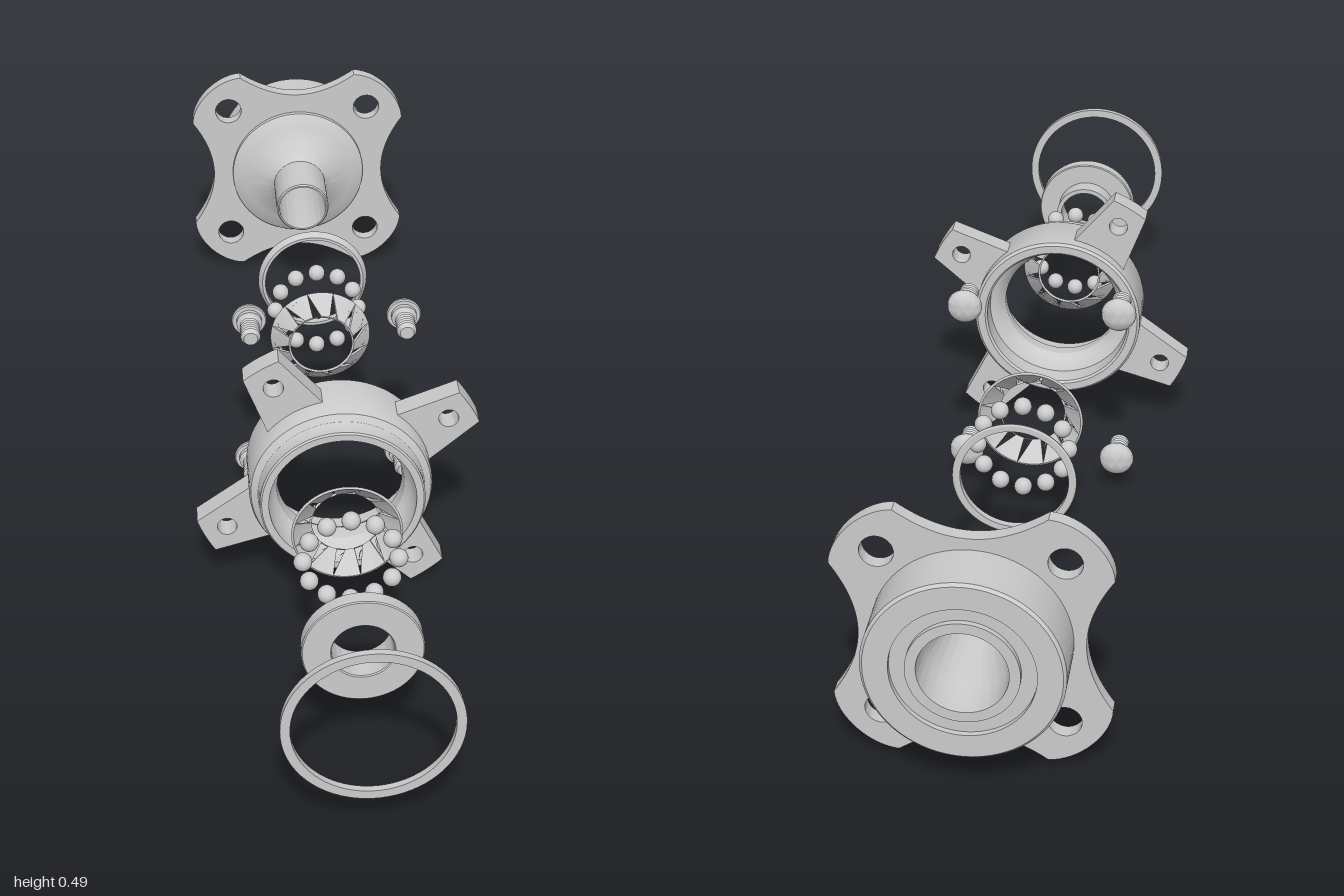
import * as THREE from 'three';
import { toCreasedNormals } from 'three/addons/utils/BufferGeometryUtils.js';

const material = new THREE.MeshStandardMaterial({ color: 0xcccccc });
const BALLS = 12;

function addMesh(parent, name, geometry) {
  const mesh = new THREE.Mesh(geometry, material);
  mesh.name = name;
  parent.add(mesh);
  return mesh;
}

// Solid of revolution about z from [radius, z] pairs, outside going toward +z
function turned(profile, segments = 72) {
  const points = profile.map(([r, z]) => new THREE.Vector2(r, z));
  points.push(points[0].clone());
  return toCreasedNormals(new THREE.LatheGeometry(points, segments).rotateX(Math.PI / 2), 0.5);
}

function plate(shape, z, depth) {
  const geometry = new THREE.ExtrudeGeometry(shape, { depth, bevelEnabled: false, curveSegments: 16 });
  return toCreasedNormals(geometry.translate(0, 0, z), 0.5);
}

function circleHole(x, y, r) {
  return new THREE.Path().absarc(x, y, r, 0, Math.PI * 2, true);
}

// Four lobes with concave valleys between them
function flangeShape() {
  const shape = new THREE.Shape();
  const at = (x, y, k) => {
    const a = k * Math.PI / 2;
    return [x * Math.cos(a) - y * Math.sin(a), x * Math.sin(a) + y * Math.cos(a)];
  };
  shape.moveTo(0.184, 0);
  for (let k = 0; k < 4; k++) {
    shape.quadraticCurveTo(...at(0.184, 0.06, k), ...at(0.228, 0.123, k));
    shape.bezierCurveTo(...at(0.226, 0.172, k), ...at(0.172, 0.226, k), ...at(0.123, 0.228, k));
    shape.quadraticCurveTo(...at(0.06, 0.184, k), ...at(0, 0.184, k));
    shape.holes.push(circleHole(...at(0.15, 0.15, k), 0.028));
  }
  shape.holes.push(circleHole(0, 0, 0.14));
  return shape;
}

// Flared lug along +x with an arc tip and a hole
function lugShape() {
  const shape = new THREE.Shape();
  const half = 0.135;
  shape.moveTo(0.15, -0.058);
  shape.lineTo(0.273 * Math.cos(half), -0.273 * Math.sin(half));
  shape.absarc(0, 0, 0.273, -half, half, false);
  shape.lineTo(0.15, 0.058);
  shape.closePath();
  shape.holes.push(circleHole(0.228, 0, 0.018));
  return shape;
}

// Conical cage: one windowed segment wrapped round the axis, repeated per ball
function cageSegment() {
  const shape = new THREE.Shape();
  for (let i = 0; i <= 6; i++) shape.lineTo(-0.5 + i / 6, 0);
  for (let i = 6; i >= 0; i--) shape.lineTo(-0.5 + i / 6, 1);
  shape.holes.push(new THREE.Path().absellipse(0, 0.48, 0.4, 0.37, 0, Math.PI * 2, true));
  const geometry = new THREE.ExtrudeGeometry(shape, { depth: 1, bevelEnabled: false, curveSegments: 12 });
  const p = geometry.attributes.position;
  for (let i = 0; i < p.count; i++) {
    const angle = p.getX(i) * Math.PI * 2 / BALLS;
    const v = p.getY(i);
    const r = 0.06 + 0.034 * v + 0.004 * p.getZ(i);
    p.setXYZ(i, r * Math.cos(angle), r * Math.sin(angle), -0.017 + 0.035 * v - 0.002 * p.getZ(i));
  }
  return toCreasedNormals(geometry, 0.6);
}

function makeBearing(name, cageZ, ballZ, flip) {
  const bearing = new THREE.Group();
  bearing.name = name;
  const segment = cageSegment();
  const ball = new THREE.SphereGeometry(0.0165, 20, 14);
  const cage = new THREE.Group();
  cage.name = 'ballCage';
  const balls = new THREE.Group();
  balls.name = 'ballRing';
  for (let k = 0; k < BALLS; k++) {
    const a = k * Math.PI * 2 / BALLS;
    addMesh(cage, 'cageSegment', segment).rotation.z = a;
    addMesh(balls, 'ball', ball).position.set(0.083 * Math.cos(a), 0.083 * Math.sin(a), 0);
  }
  cage.position.z = cageZ;
  if (flip) cage.rotation.y = Math.PI;
  balls.position.z = ballZ;
  bearing.add(cage, balls);
  return bearing;
}

// Domed head at the back, threaded shank pointing forward
function boltGeometry() {
  const profile = [[0, -0.03], [0.012, -0.029], [0.024, -0.025], [0.031, -0.018], [0.033, -0.01],
    [0.031, -0.007], [0.024, -0.007], [0.024, 0.002], [0.019, 0.004]];
  for (let i = 0; i < 6; i++) {
    const z = 0.008 + i * 0.0075;
    profile.push([0.0155, z], [0.0185, z + 0.0035]);
  }
  profile.push([0.0155, 0.053], [0.013, 0.058], [0, 0.058]);
  return turned(profile, 28);
}

export function createModel() {
  const model = new THREE.Group();
  model.name = 'wheelHubAssembly';
  model.position.set(0.003, 0.247, 0);

  // Front seal and inner race
  addMesh(model, 'frontSealRing', turned([[0.132, 0.988], [0.148, 0.988], [0.148, 1], [0.132, 1]]));
  addMesh(model, 'innerRace', turned([[0.052, 0.745], [0.061, 0.745], [0.061, 0.782], [0.1, 0.782],
    [0.102, 0.784], [0.102, 0.808], [0.1, 0.81], [0.054, 0.81], [0.052, 0.808]]));

  // Bearings either side of the housing
  model.add(makeBearing('frontBearing', 0.465, 0.56, false));
  model.add(makeBearing('rearBearing', -0.162, -0.28, true));

  // Housing with four mounting lugs
  const housing = new THREE.Group();
  housing.name = 'housing';
  addMesh(housing, 'housingBody', turned([[0.145, 0.238], [0.16, 0.238], [0.165, 0.243], [0.165, 0.342],
    [0.162, 0.349], [0.15, 0.356], [0.148, 0.36], [0.148, 0.387], [0.145, 0.39], [0.132, 0.39], [0.132, 0.37],
    [0.124, 0.35], [0.115, 0.338], [0.113, 0.31], [0.12, 0.297], [0.132, 0.288], [0.141, 0.284], [0.141, 0.242]]));
  const lug = plate(lugShape(), 0.267, 0.043);
  for (const degrees of [31, 121, 206, 307]) {
    addMesh(housing, 'mountingLug', lug).rotation.z = THREE.MathUtils.degToRad(degrees);
  }
  model.add(housing);

  // Four bolts
  const bolt = boltGeometry();
  for (const x of [-0.146, 0.146]) {
    for (const y of [0.143, -0.167]) addMesh(model, 'bolt', bolt).position.set(x, y, 0);
  }

  // Rear seal
  addMesh(model, 'rearSealRing', turned([[0.097, -0.4], [0.108, -0.4], [0.111, -0.398], [0.109, -0.392],
    [0.103, -0.386], [0.097, -0.386]]));

  // Hub: hollow spindle, lobed flange and rear boss
  const hub = new THREE.Group();
  hub.name = 'hub';
  addMesh(hub, 'hubBody', turned([[0.074, -1], [0.092, -1], [0.092, -0.99], [0.118, -0.99], [0.118, -1],
    [0.159, -1], [0.164, -0.995], [0.164, -0.88], [0.143, -0.88], [0.143, -0.864], [0.138, -0.86],
    [0.115, -0.853], [0.09, -0.84], [0.07, -0.825], [0.06, -0.817], [0.0555, -0.81], [0.0555, -0.703],
    [0.053, -0.7], [0.05, -0.7], [0.05, -0.86], [0.07, -0.94]]));
  addMesh(hub, 'hubFlange', plate(flangeShape(), -0.9, 0.026));
  model.add(hub);

  const root = new THREE.Group();
  root.name = 'explodedWheelHub';
  root.add(model);
  return root;
}
